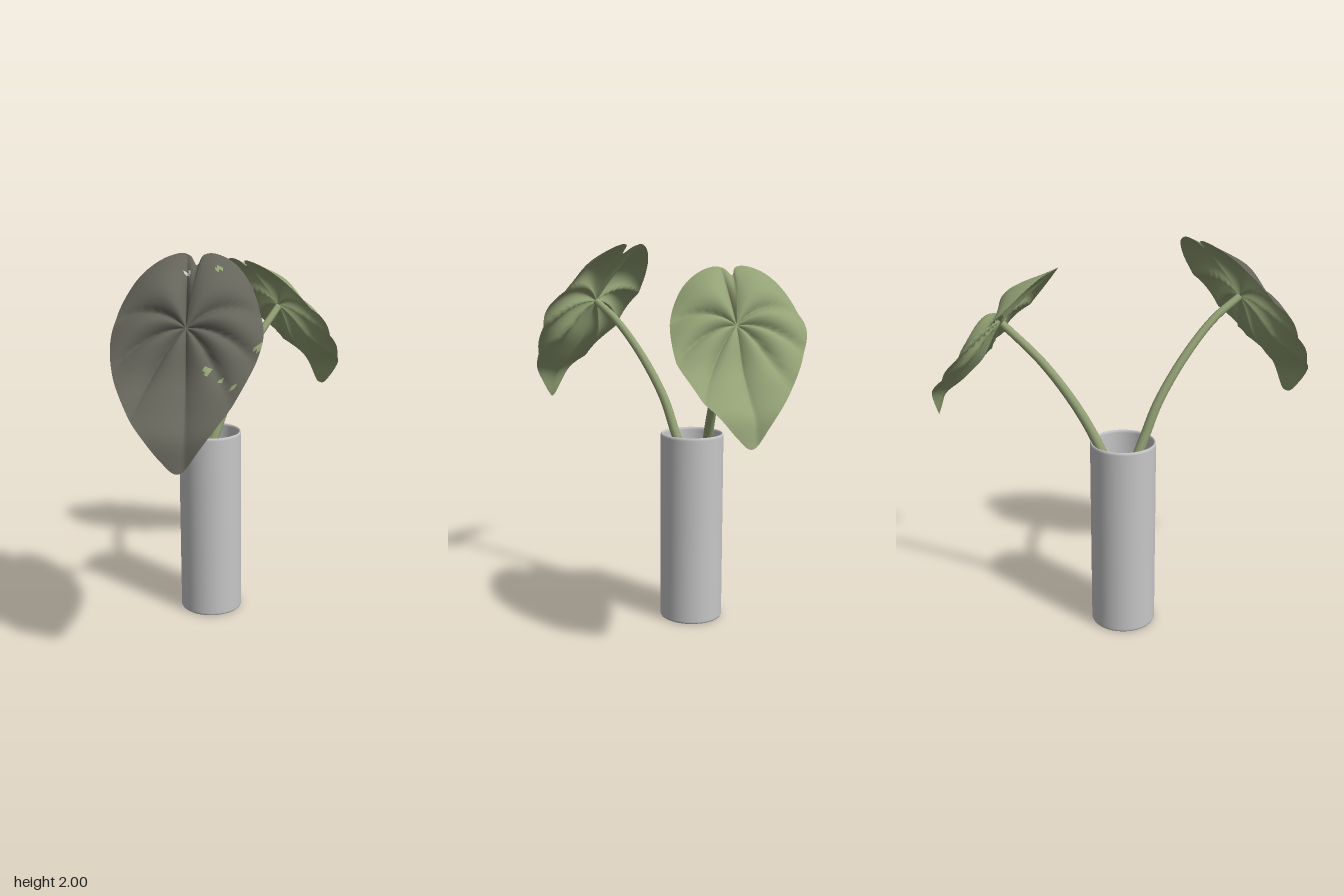
import * as THREE from 'three';

const V = (x, y, z) => new THREE.Vector3(x, y, z);

function material(name, color, side = THREE.FrontSide) {
  const m = new THREE.MeshStandardMaterial({ color, side });
  m.name = name;
  return m;
}

// Heart-shaped blade outline around the stalk joint, tip at -y, counterclockwise
const OUTLINE = new THREE.CatmullRomCurve3([
  [-0.03, -0.67], [0.07, -0.575], [0.18, -0.43], [0.29, -0.23], [0.345, -0.07],
  [0.335, 0.08], [0.285, 0.25], [0.21, 0.36], [0.12, 0.41], [0.075, 0.4],
  [0.045, 0.34], [0.015, 0.4], [-0.02, 0.42], [-0.11, 0.39], [-0.22, 0.29],
  [-0.31, 0.11], [-0.34, -0.06], [-0.325, -0.22], [-0.265, -0.39], [-0.2, -0.51], [-0.1, -0.625],
].map(([u, v]) => V(u, v, 0)), true);

const hill = (v, centre, width) => Math.exp(-(((v - centre) / width) ** 2));

// Height of the blade: a shallow trough below the joint, a hooked tip, domed
// lobes that fall back at the rim, and puffed panels between the sunken veins
function bladeHeight(u, v, r) {
  const lower = THREE.MathUtils.smoothstep(-v, -0.25, 0.4);
  const spine = (v > 0 ? -0.32 : -0.16) * v * v
    + 0.04 * hill(v, -0.54, 0.1) - 0.03 * hill(v, -0.22, 0.13);
  const sides = lower * 0.17 * Math.abs(u) - (1 - lower) * 0.4 * u * u + 0.1 * u;
  const angle = Math.atan2(Math.abs(u), -v);
  const sector = angle + 0.6 * r * Math.sin(angle);
  const puff = Math.abs(Math.sin(4 * sector)) ** 0.6;
  const dome = (1 - lower) * 0.2 * puff * r * (1 - r);
  return spine + sides + dome + 0.075 * (puff - 0.5) * r * (1.2 - r);
}

// One face of the blade; the two faces meet at the rim.
// Flecks are [u, v, radius, material slot] patches of another colour.
function bladeFace(isTop, flecks) {
  const segments = 160, rings = 22;
  const positions = [0, 0, isTop ? 0 : -0.014], slots = [[], [], []];
  for (let j = 1; j <= rings; j++) {
    const r = j / rings;
    const drop = isTop ? 0 : 0.014 * (1 - r ** 4);
    for (let i = 0; i < segments; i++) {
      const p = OUTLINE.getPoint(i / segments).multiplyScalar(r);
      positions.push(p.x, p.y, bladeHeight(p.x, p.y, r) - drop);
    }
  }
  const tri = (a, b, c) => {
    const u = positions[3 * b], v = positions[3 * b + 1];
    const fleck = flecks.find(([fu, fv, size]) => Math.hypot(u - fu, v - fv) < size);
    slots[fleck ? fleck[3] : 0].push(a, isTop ? b : c, isTop ? c : b);
  };
  for (let i = 0; i < segments; i++) {
    const k = (i + 1) % segments;
    tri(0, 1 + i, 1 + k);
    for (let j = 0; j < rings - 1; j++) {
      const a = 1 + j * segments, b = a + segments;
      tri(a + i, b + i, b + k);
      tri(a + i, b + k, a + k);
    }
  }
  const g = new THREE.BufferGeometry();
  g.setAttribute('position', new THREE.Float32BufferAttribute(positions, 3));
  g.setIndex(slots.flat());
  let start = 0;
  slots.forEach((list, slot) => {
    if (list.length) g.addGroup(start, list.length, slot);
    start += list.length;
  });
  g.computeVertexNormals();
  return g;
}

// Leaf placed at its stalk joint, with "up" running from tip to notch
function makeLeaf(name, joint, up, facing, scale, topMaterials, underMaterial, flecks = []) {
  const leaf = new THREE.Group();
  leaf.name = name;
  const v = up.clone().normalize();
  const u = v.clone().cross(facing).normalize();
  const n = u.clone().cross(v);
  leaf.quaternion.setFromRotationMatrix(new THREE.Matrix4().makeBasis(u, v, n));
  leaf.position.copy(joint);
  leaf.scale.setScalar(scale);
  const top = new THREE.Mesh(bladeFace(true, flecks), topMaterials);
  top.name = 'leafTop';
  const under = new THREE.Mesh(bladeFace(false, []), underMaterial);
  under.name = 'leafUnderside';
  leaf.add(top, under);
  return leaf;
}

// Stalk: a tube that narrows from the vase to the leaf
function makeStalk(name, points, mat) {
  const curve = new THREE.CatmullRomCurve3(points);
  const steps = 40, sides = 14, baseRadius = 0.028, endRadius = 0.019;
  const g = new THREE.TubeGeometry(curve, steps, baseRadius, sides);
  const pos = g.attributes.position, p = V(0, 0, 0);
  for (let i = 0; i < pos.count; i++) {
    const t = Math.floor(i / (sides + 1)) / steps;
    const c = curve.getPointAt(t);
    p.fromBufferAttribute(pos, i).sub(c);
    p.multiplyScalar(THREE.MathUtils.lerp(1, endRadius / baseRadius, t)).add(c);
    pos.setXYZ(i, p.x, p.y, p.z);
  }
  const stalk = new THREE.Group();
  stalk.name = name;
  const tube = new THREE.Mesh(g, mat);
  tube.name = 'stalkTube';
  const end = new THREE.Mesh(new THREE.SphereGeometry(baseRadius, 14, 10), mat);
  end.name = 'stalkEnd';
  end.position.copy(points[0]);
  stalk.add(tube, end);
  return stalk;
}

// Hollow cylindrical vase with softened edges
function makeVase(mat) {
  const profile = [
    [0, 0], [0.155, 0], [0.158, 0], [0.164, 0.003], [0.167, 0.009], [0.167, 0.015],
    [0.167, 1.0], [0.167, 1.005], [0.165, 1.012], [0.161, 1.015], [0.157, 1.012],
    [0.155, 1.005], [0.155, 1.0], [0.155, 0.03], [0.154, 0.025], [0.15, 0.025], [0, 0.025],
  ].map(([x, y]) => new THREE.Vector2(x, y));
  const vase = new THREE.Mesh(new THREE.LatheGeometry(profile, 64), mat);
  vase.name = 'vase';
  vase.position.set(-0.138, 0, -0.135);
  return vase;
}

export function createModel() {
  const ceramic = material('grey ceramic', 0xc7c7c7);
  const green = material('leaf green', 0x93a175, THREE.DoubleSide);
  const dark = material('dark leaf grey', 0x65645a, THREE.DoubleSide);

  // Small pale patches on the dark blade
  const flecks = [
    [0.0, 0.3, 0.016, 2], [0.15, 0.3, 0.018, 1], [0.1, -0.22, 0.018, 1],
    [0.17, -0.26, 0.014, 1], [0.21, -0.31, 0.016, 1], [0.33, -0.12, 0.022, 1],
  ];

  const model = new THREE.Group();
  model.name = 'pottedLeaves';
  model.add(
    makeVase(ceramic),
    makeLeaf('frontLeaf', V(-0.27, 1.69, 0.55), V(0.04, 0.813, -0.582), V(-0.03, 0.582, 0.813),
      1, [dark, green, ceramic], green, flecks),
    makeLeaf('backLeaf', V(0.28, 1.63, -0.57), V(-0.48, 0.77, 0.417), V(0.58, 0.635, -0.51),
      0.92, [green], green),
    makeStalk('frontStalk', [
      V(-0.14, 0.7, -0.15), V(-0.165, 1.015, -0.015), V(-0.18, 1.185, 0.06),
      V(-0.205, 1.4, 0.21), V(-0.235, 1.58, 0.385), V(-0.268, 1.68, 0.535),
    ], green),
    makeStalk('backStalk', [
      V(-0.18, 0.75, -0.19), V(-0.085, 1.015, -0.255), V(0, 1.21, -0.325),
      V(0.125, 1.43, -0.435), V(0.272, 1.615, -0.56),
    ], green),
  );
  return model;
}
